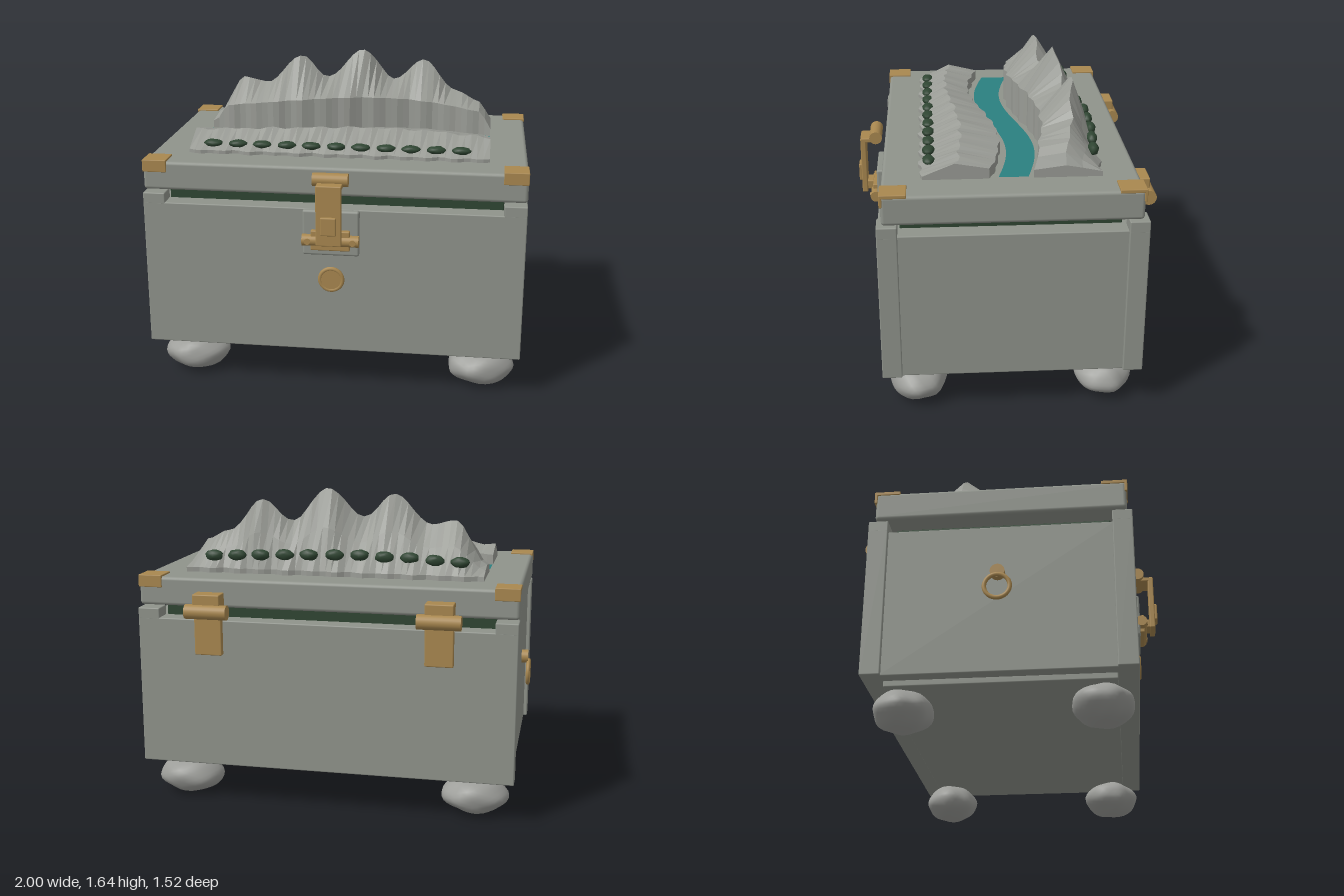
import * as THREE from 'three';
import { mergeVertices } from 'three/addons/utils/BufferGeometryUtils.js';
import { RoundedBoxGeometry } from 'three/addons/geometries/RoundedBoxGeometry.js';

const mat = (name, color, opts = {}) => {
  const m = new THREE.MeshStandardMaterial({ color, ...opts });
  m.name = name;
  return m;
};

export function createModel() {
  const stone = mat('chest grey', 0x8f938b);
  const rock = mat('rock grey', 0x9c9d99);
  const cliff = mat('cliff grey', 0x999b95, { flatShading: true });
  const brass = mat('brass', 0xa8874f);
  const green = mat('dark green', 0x2f4532);
  const water = mat('river teal', 0x2a8080, { side: THREE.DoubleSide });

  const model = new THREE.Group();
  model.name = 'landscapeChest';
  const add = (name, geo, material, x = 0, y = 0, z = 0) => {
    const m = new THREE.Mesh(geo, material);
    m.name = name;
    m.position.set(x, y, z);
    model.add(m);
    return m;
  };
  // Box given by its limits on each axis, with softened edges
  const block = (name, material, x0, x1, y0, y1, z0, z1, r = 0.006) =>
    add(name, new RoundedBoxGeometry(x1 - x0, y1 - y0, z1 - z0, 2, r), material,
      (x0 + x1) / 2, (y0 + y1) / 2, (z0 + z1) / 2);
  const barrel = (name, r, length, axis, x, y, z) => {
    const geo = new THREE.CylinderGeometry(r, r, length, 24);
    if (axis === 'x') geo.rotateZ(Math.PI / 2);
    if (axis === 'z') geo.rotateX(Math.PI / 2);
    return add(name, geo, brass, x, y, z);
  };

  // Chest body
  const L = -0.965, R = 0.995, mid = 0.015;
  block('frontWall', stone, L, R, 0.22, 1.0, 0.53, 0.63);
  block('backWall', stone, L, R, 0.22, 1.0, -0.68, -0.58);
  block('chestCore', stone, L + 0.02, R - 0.02, 0.22, 0.995, -0.59, 0.54);
  block('basePlate', stone, -0.88, 0.91, 0.19, 0.23, -0.58, 0.53);
  block('lidSeal', green, -0.85, 0.88, 0.98, 1.06, -0.56, 0.52);
  for (const [x0, x1] of [[L, -0.85], [0.88, R]])
    for (const [z0, z1] of [[0.53, 0.63], [-0.68, -0.58]])
      block('cornerBlock', stone, x0, x1, 0.99, 1.05, z0, z1);

  // Lid with brass corner brackets
  block('lid', stone, L, R, 1.06, 1.21, -0.65, 0.605, 0.018);
  for (const x of [L - 0.002, R - 0.123])
    for (const s of [1, -1]) {
      const outer = s > 0 ? 0.611 : -0.657;
      const inner = outer - s * 0.13;
      block('cornerBracketTop', brass, x, x + 0.125, 1.2, 1.219,
        Math.min(inner, outer), Math.max(inner, outer), 0.004);
      block('cornerBracketFlap', brass, x, x + 0.125, 1.155, 1.216,
        outer - (s > 0 ? 0.015 : 0), outer + (s > 0 ? 0 : 0.015), 0.004);
    }

  // Rough stone feet
  const lumpy = (rx, ry, rz, seed, detail, amount) => {
    let geo = new THREE.IcosahedronGeometry(1, detail);
    geo.deleteAttribute('normal');
    geo.deleteAttribute('uv');
    geo = mergeVertices(geo, 1e-4);
    const p = geo.attributes.position, v = new THREE.Vector3();
    for (let i = 0; i < p.count; i++) {
      v.fromBufferAttribute(p, i);
      const n = Math.sin(v.x * 4.3 + seed) * Math.cos(v.y * 5.1 + seed * 2)
        + 0.7 * Math.sin(v.z * 6.7 + v.x * 5 + seed * 3);
      v.multiplyScalar(1 + amount * n);
      p.setXYZ(i, v.x * rx, v.y * ry, v.z * rz);
    }
    geo.computeVertexNormals();
    return geo;
  };
  let seed = 1;
  for (const x of [-0.755, 0.79])
    for (const z of [0.455, -0.505])
      add('stoneFoot', lumpy(0.173, 0.097, 0.147, seed++, 5, 0.035), rock, x, 0.105, z);

  // Front latch and lock
  block('latchPlate', stone, -0.13, 0.16, 0.76, 1.0, 0.62, 0.66, 0.012);
  barrel('latchPivot', 0.034, 0.18, 'x', mid, 1.165, 0.66);
  block('latchArm', brass, -0.05, 0.08, 1.13, 1.155, 0.65, 0.745);
  block('latchLeaf', brass, -0.05, 0.08, 0.84, 1.15, 0.715, 0.745);
  block('latchButton', brass, -0.025, 0.055, 0.9, 0.995, 0.74, 0.76);
  block('stapleBase', brass, -0.085, 0.115, 0.795, 0.9, 0.655, 0.685);
  barrel('stapleBar', 0.03, 0.29, 'x', mid, 0.845, 0.668);
  block('stapleCatch', brass, -0.03, 0.06, 0.85, 0.9, 0.68, 0.72);
  for (const x of [-0.1, 0.13]) barrel('stapleScrew', 0.016, 0.05, 'z', x, 0.845, 0.676);
  barrel('lockDisc', 0.058, 0.03, 'z', mid, 0.625, 0.638);
  add('lockRim', new THREE.TorusGeometry(0.058, 0.011, 10, 40), brass, mid, 0.625, 0.645);

  // Back hinges
  for (const x of [-0.58, 0.61]) {
    barrel('hingeBarrel', 0.038, 0.22, 'x', x, 1.05, -0.722);
    block('hingeUpperBlock', brass, x - 0.072, x + 0.072, 1.05, 1.14, -0.73, -0.64);
    block('hingeLeaf', brass, x - 0.072, x + 0.072, 0.82, 1.05, -0.708, -0.675);
  }

  // Side ring pull
  barrel('ringMount', 0.036, 0.035, 'x', -0.968, 0.73, -0.03);
  const ring = add('ringPull', new THREE.TorusGeometry(0.062, 0.011, 10, 40), brass, -0.988, 0.645, -0.03);
  ring.rotation.y = Math.PI / 2;

  // Winding river
  const X0 = -0.77, X1 = 0.8, N = 48;
  const bend = x => -0.03 - 0.065 * Math.sin((x - 0.02) * Math.PI / 0.8);
  const bank = new THREE.Shape();
  for (let i = 0; i <= N; i++) {
    const x = X0 + (X1 - X0) * i / N;
    if (i) bank.lineTo(x, -bend(x) - 0.073);
    else bank.moveTo(x, -bend(x) - 0.073);
  }
  for (let i = N; i >= 0; i--) {
    const x = X0 + (X1 - X0) * i / N;
    bank.lineTo(x, -bend(x) + 0.073);
  }
  add('river', new THREE.ShapeGeometry(bank).rotateX(-Math.PI / 2), water, 0, 1.216, 0);

  // Terrain lofted along x from (z, y) sections running front to back
  const terrain = (name, section) => {
    const pos = [], rows = [];
    for (let i = 0; i <= N; i++) {
      const x = X0 + (X1 - X0) * i / N;
      rows.push(section(x).map(([z, y]) => [x, y, z]));
    }
    const tri = (a, b, c) => pos.push(...a, ...b, ...c);
    const n = rows[0].length;
    for (let i = 0; i < N; i++)
      for (let j = 0; j < n; j++) {
        const k = (j + 1) % n, a = rows[i], d = rows[i + 1];
        tri(a[j], d[j], d[k]);
        tri(a[j], d[k], a[k]);
      }
    for (let j = 1; j < n - 1; j++) {
      tri(rows[0][0], rows[0][j], rows[0][j + 1]);
      tri(rows[N][0], rows[N][j + 1], rows[N][j]);
    }
    const geo = new THREE.BufferGeometry();
    geo.setAttribute('position', new THREE.Float32BufferAttribute(pos, 3));
    geo.computeVertexNormals();
    add(name, geo, cliff);
  };
  const jag = (x, k) => 0.011 * Math.sin(x * 47 + k) + 0.006 * Math.sin(x * 29 + 2 * k);
  const crest = [[-0.77, 1.27], [-0.6, 1.49], [-0.47, 1.465], [-0.27, 1.62], [-0.12, 1.5], [0.07, 1.65],
    [0.25, 1.48], [0.41, 1.59], [0.6, 1.42], [0.74, 1.365], [0.8, 1.27]];
  const ridge = x => {
    let i = 0;
    while (i < crest.length - 2 && x > crest[i + 1][0]) i++;
    const [a, ya] = crest[i], [b, yb] = crest[i + 1];
    const t = THREE.MathUtils.clamp((x - a) / (b - a), 0, 1);
    return ya + (yb - ya) * (1 - Math.cos(Math.PI * t)) / 2;
  };
  const base = 1.205;
  terrain('mountainRange', x => {
    const h = ridge(x), c = bend(x);
    const lip = Math.min(h - 0.02, 1.31 + 0.095 * Math.cos(x * 1.7));
    const front = c - 0.105 + jag(x, 1) * 0.6, top = c - 0.255 + jag(x, 3) * 0.7;
    const back = -0.465 + jag(x, 5);
    return [[front, base], [front, lip], [top, h],
      [(top + back) / 2 + jag(x, 2) * 0.6, 1.24 + (h - 1.24) * 0.52], [back, 1.235], [back, base]];
  });
  terrain('foothills', x => {
    const c = bend(x), arch = Math.cos(x * 1.5);
    const front = 0.415 + jag(x, 4), back = c + 0.11 + jag(x, 2) * 0.5;
    return [[front, base], [front, 1.228], [0.245 + 0.5 * (c + 0.03) + jag(x, 1) * 0.8, 1.275 + 0.055 * arch + jag(x, 6) * 0.4],
      [back, 1.25 + 0.035 * arch], [back, base]];
  });

  // Rows of bushes
  const backZ = [-0.42, -0.42, -0.41, -0.43, -0.42, -0.44, -0.46, -0.46, -0.46, -0.45, -0.44];
  for (let i = 0; i < 11; i++) {
    const x = -0.645 + i * 0.13;
    add('frontBush', lumpy(0.049, 0.02, 0.031, i, 2, 0.06), green, x, 1.258, 0.375);
    add('backBush', lumpy(0.049, 0.029, 0.027, i + 20, 2, 0.06), green, x, 1.29 + 0.03 * Math.cos(x * 2), backZ[i]);
  }
  return model;
}
